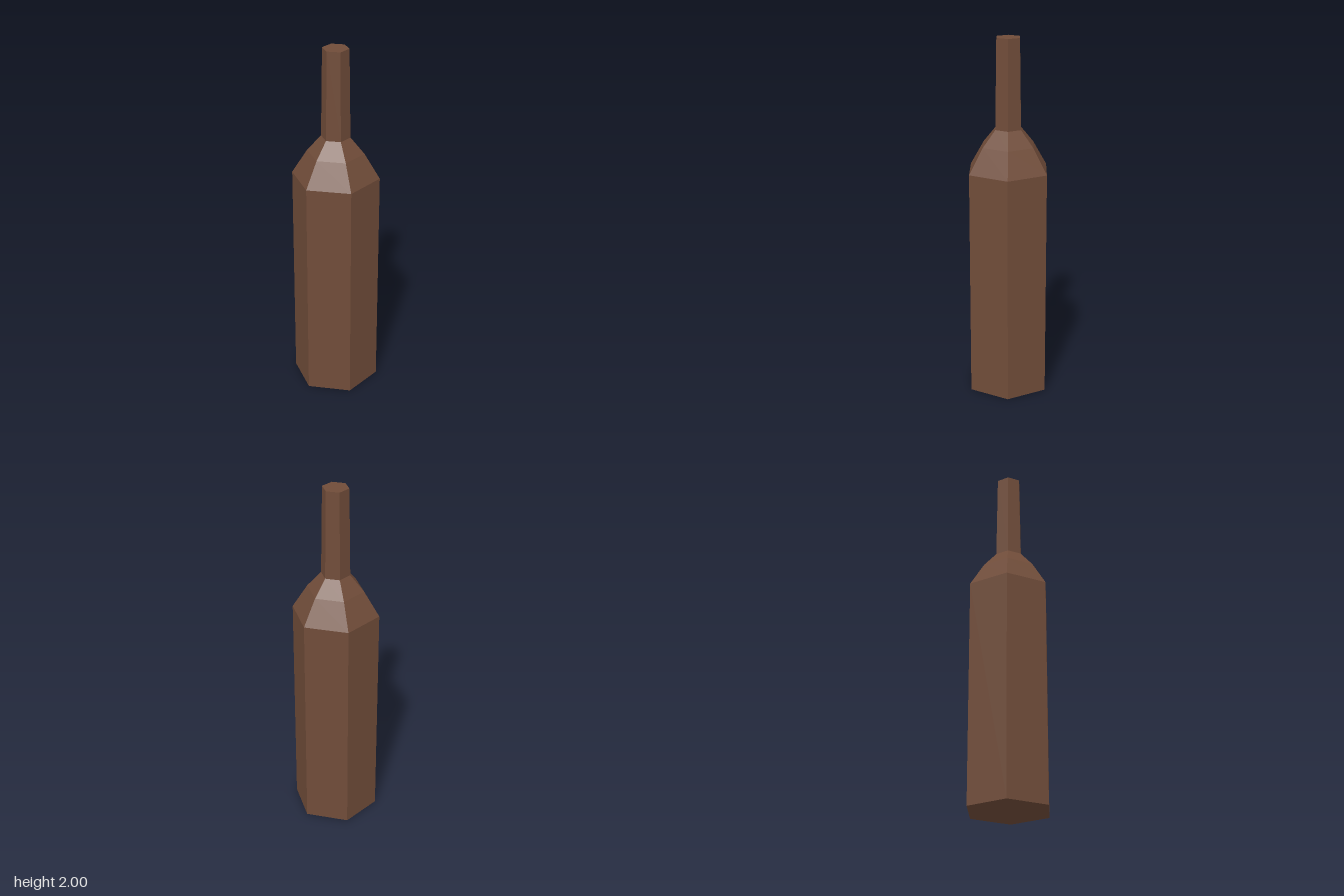
import * as THREE from 'three';

const SIDES = 6;

export function createModel() {
  const bottle = new THREE.Group();
  bottle.name = 'bottle';
  const glass = new THREE.MeshStandardMaterial({ color: 0x704c39, flatShading: true });

  // Turns a [radius, height] profile, listed bottom to top, into a six-sided part
  function addPart(name, profile) {
    const points = profile.map(([r, y]) => new THREE.Vector2(r, y));
    const mesh = new THREE.Mesh(new THREE.LatheGeometry(points, SIDES), glass);
    mesh.name = name;
    bottle.add(mesh);
  }

  // Straight body with a closed base
  addPart('body', [[0, 0], [0.242, 0], [0.242, 1.275]]);
  // Shoulder in two slopes
  addPart('shoulder', [[0.242, 1.275], [0.157, 1.415], [0.08, 1.505]]);
  // Slightly tapered neck with a flat closed top
  addPart('neck', [[0.08, 1.505], [0.072, 2], [0, 2]]);

  return bottle;
}
